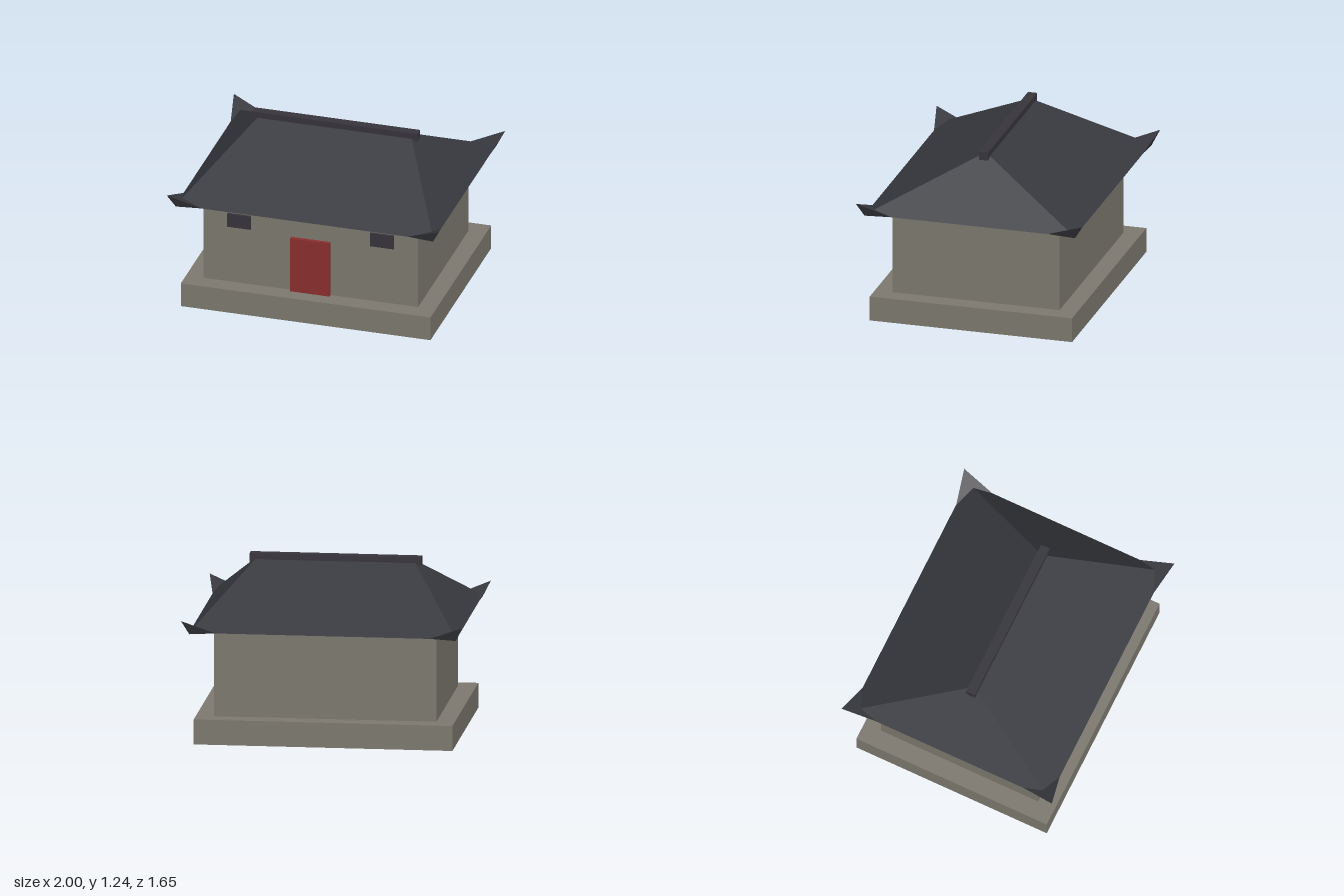
import * as THREE from 'three';

const material = (name, color) => {
  const m = new THREE.MeshStandardMaterial({ color });
  m.name = name;
  return m;
};

// Flat-shaded solid from a few corner points and its faces (counter-clockwise from outside)
function solid(points, faces) {
  const pos = [];
  for (const f of faces)
    for (let i = 1; i < f.length - 1; i++)
      pos.push(...points[f[0]], ...points[f[i]], ...points[f[i + 1]]);
  const g = new THREE.BufferGeometry();
  g.setAttribute('position', new THREE.Float32BufferAttribute(pos, 3));
  g.computeVertexNormals();
  return g;
}

const rectangle = (x, z, y) => [[-x, y, z], [x, y, z], [x, y, -z], [-x, y, -z]];

export function createModel() {
  const stone = material('stone', 0x7d796f);
  const tile = material('roof tile', 0x38393f);
  const darkWood = material('dark wood', 0x37353c);
  const redPaint = material('red paint', 0x8b2e2e);
  const model = new THREE.Group();
  model.name = 'house';

  const add = (name, geometry, mat) => {
    const mesh = new THREE.Mesh(geometry, mat);
    mesh.name = name;
    model.add(mesh);
    return mesh;
  };
  // Box given by its lower and upper corners
  const box = (name, mat, [x0, y0, z0], [x1, y1, z1]) =>
    add(name, new THREE.BoxGeometry(x1 - x0, y1 - y0, z1 - z0), mat)
      .position.set((x0 + x1) / 2, (y0 + y1) / 2, (z0 + z1) / 2);

  // Body
  box('plinth', stone, [-0.92, 0, -0.745], [0.92, 0.18, 0.745]);
  box('walls', stone, [-0.79, 0.18, -0.615], [0.79, 0.812, 0.615]);
  box('door', redPaint, [-0.145, 0.18, 0.6], [0.145, 0.6, 0.64]);
  box('leftWindow', darkWood, [0.44, 0.62, 0.6], [0.613, 0.722, 0.634]);
  box('rightWindow', darkWood, [-0.613, 0.62, 0.6], [-0.44, 0.722, 0.634]);

  // Hipped roof with a narrow flat top, and the ridge beam on it
  add('roof', solid(
    [...rectangle(0.95, 0.772, 0.81), ...rectangle(0.57, 0.04, 1.197)],
    [[0, 1, 5, 4], [1, 2, 6, 5], [2, 3, 7, 6], [3, 0, 4, 7], [4, 5, 6, 7], [3, 2, 1, 0]],
  ), tile);
  box('ridgeBeam', darkWood, [-0.61, 1.18, -0.034], [0.61, 1.24, 0.034]);

  // Upturned eave tips, mirrored to the four corners
  for (const sx of [1, -1]) for (const sz of [1, -1]) {
    const corners = [[1, 0.903, 0.823], [0.76, 0.81, 0.771], [0.949, 0.81, 0.575], [0.948, 0.8, 0.775]]
      .map(([x, y, z]) => [x * sx, y, z * sz]);
    const faces = [[0, 2, 1], [0, 1, 3], [0, 3, 2], [1, 2, 3]];
    if (sx * sz < 0) faces.forEach((f) => f.reverse());
    add('eaveTip', solid(corners, faces), tile);
  }
  return model;
}
